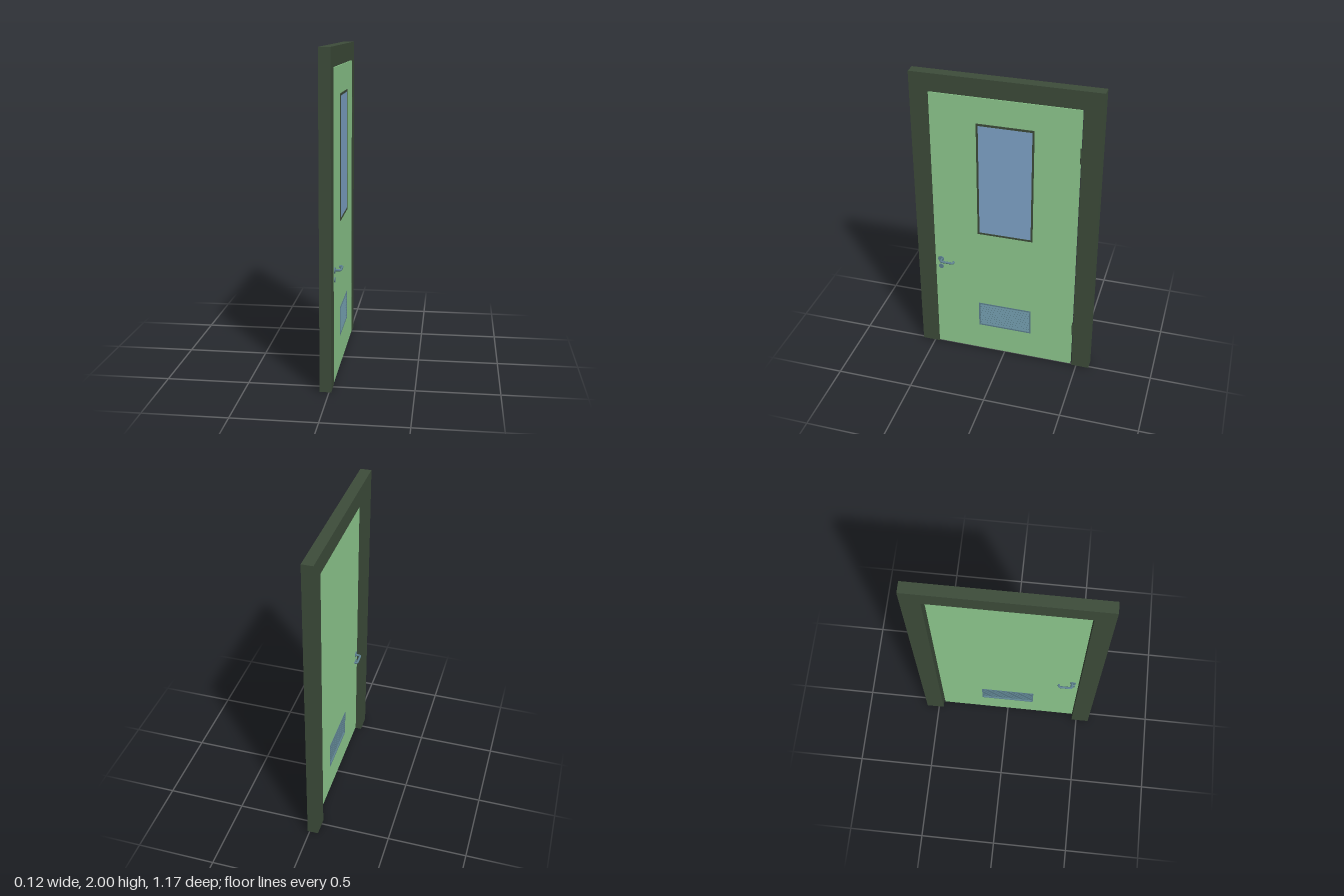
import * as THREE from 'three';

const mat = (color) => new THREE.MeshStandardMaterial({ color });
const FRAME = mat(0x3d4c3a), LEAF = mat(0x8fcb8f), GLASS = mat(0x80a6ca), METAL = mat(0x5f8391);

const FRONT = 0.013, BACK = -0.016; // faces of the door leaf

function add(parent, name, geometry, material, x = 0, y = 0, z = 0) {
  const mesh = new THREE.Mesh(geometry, material);
  mesh.name = name;
  mesh.position.set(x, y, z);
  parent.add(mesh);
  return mesh;
}

// Corner points (z, y) of an upright rectangle
function rect(z0, z1, y0, y1) {
  return [[z0, y0], [z1, y0], [z1, y1], [z0, y1]].map(([z, y]) => new THREE.Vector2(z, y));
}

// Outline in the z-y plane, extruded between two x positions
function slab(points, holes, xFront, xBack) {
  const shape = new THREE.Shape(points);
  holes.forEach((h) => shape.holes.push(new THREE.Path(h)));
  const g = new THREE.ExtrudeGeometry(shape, { depth: xFront - xBack, bevelEnabled: false });
  return g.rotateY(-Math.PI / 2).translate(xFront, 0, 0);
}

// Lever, rosette and key plate; side is +1 for the front, -1 for the back
function handle(side) {
  const g = new THREE.Group();
  g.name = side > 0 ? 'frontHandle' : 'backHandle';
  g.position.set(side > 0 ? FRONT : BACK, 0.7, 0.43);
  const disc = (r) => new THREE.CylinderGeometry(r, r, 0.005, 24).rotateZ(Math.PI / 2);
  add(g, 'rosette', disc(0.02), METAL, side * 0.0025);
  add(g, 'keyPlate', disc(0.016), METAL, side * 0.0025, -0.057);

  const p = (x, z) => new THREE.Vector3(side * x, 0, z);
  const path = new THREE.CurvePath();
  path.add(new THREE.LineCurve3(p(0, -0.006), p(0.024, -0.006)));
  path.add(new THREE.QuadraticBezierCurve3(p(0.024, -0.006), p(0.036, -0.006), p(0.036, -0.018)));
  path.add(new THREE.LineCurve3(p(0.036, -0.018), p(0.036, -0.08)));
  path.add(new THREE.QuadraticBezierCurve3(p(0.036, -0.08), p(0.036, -0.092), p(0.024, -0.092)));
  path.add(new THREE.LineCurve3(p(0.024, -0.092), p(0.017, -0.092)));
  add(g, 'lever', new THREE.TubeGeometry(path, 48, 0.0075, 12), METAL);
  const cap = new THREE.CircleGeometry(0.0075, 12).rotateY(-side * Math.PI / 2);
  add(g, 'leverEnd', cap, METAL, side * 0.017, 0, -0.092);
  return g;
}

export function createModel() {
  const model = new THREE.Group();
  model.name = 'door';

  // Frame: two jambs and a header in one outline
  const frame = [
    [-0.585, 0], [-0.468, 0], [-0.468, 1.885], [0.468, 1.885],
    [0.468, 0], [0.585, 0], [0.585, 2], [-0.585, 2],
  ].map(([z, y]) => new THREE.Vector2(z, y));
  add(model, 'doorFrame', slab(frame, [], 0.0135, -0.056), FRAME);

  // Leaf with an opening for the vent
  const vent = rect(-0.18, 0.176, 0.207, 0.391);
  add(model, 'doorLeaf', slab(rect(-0.459, 0.467, 0.01, 1.882), [vent], FRONT, BACK), LEAF);

  // Window on the front face
  const pane = rect(-0.171, 0.163, 0.953, 1.702);
  add(model, 'windowTrim', slab(rect(-0.183, 0.175, 0.941, 1.715), [pane], 0.017, 0.012), FRAME);
  add(model, 'windowPane', slab(pane, [], 0.0145, 0.012), GLASS);

  // Vent: surround and slats that fall towards the front
  const louvre = new THREE.Group();
  louvre.name = 'vent';
  model.add(louvre);
  const inner = rect(-0.171, 0.167, 0.217, 0.381);
  add(louvre, 'ventSurround', slab(vent, [inner], 0.015, BACK - 0.002), METAL);
  const count = 9, pitch = 0.164 / count;
  for (let i = 0; i < count; i++) {
    const slat = add(louvre, 'ventSlat', new THREE.BoxGeometry(0.034, 0.002, 0.338), METAL,
      -0.0015, 0.217 + (i + 0.5) * pitch, -0.002);
    slat.rotation.z = -0.62;
  }

  // Handles on both faces
  model.add(handle(1), handle(-1));

  // Hinge barrels
  for (const y of [0.31, 1.59]) {
    add(model, 'hinge', new THREE.CylinderGeometry(0.0045, 0.0045, 0.1, 12), FRAME, 0.0135, y, -0.463);
  }
  return model;
}
